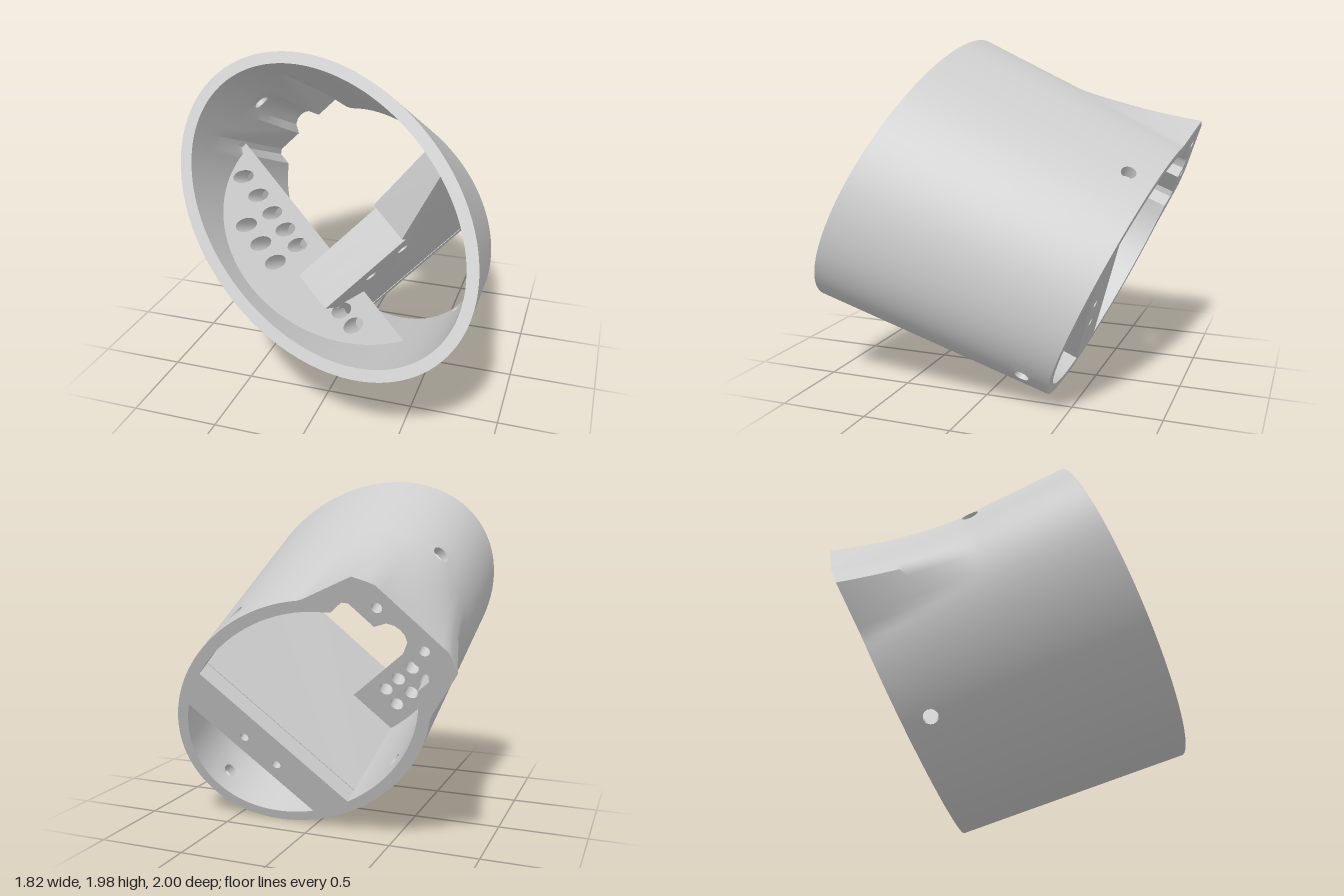
import * as THREE from 'three';
import { toCreasedNormals } from 'three/addons/utils/BufferGeometryUtils.js';

// Local frame: x = long axis of the oval, y = short axis, z = along the sleeve (0 back, L front)
const L = 1.411, WALL = 0.065, COLS = 160, ROWS = 56;
// Wall bores as [column, row, radius]
const BORES = [[80, 32, 0.05], [47, 6, 0.042], [0, 6, 0.042], [114, 6, 0.042]];

const lerp = THREE.MathUtils.lerp;
const oval = (z) => ({ c: lerp(0.012, 0.073, z / L), a: lerp(0.873, 0.971, z / L), b: lerp(0.63, 0.682, z / L) });
const ovalRadius = (phi, a, b) => 1 / Math.hypot(Math.cos(phi) / a, Math.sin(phi) / b);
const fade = (z, end, power) => Math.pow(Math.max(0, 1 - z / end), power);

// Outer radius: oval plus a flat mounting boss that fades away from the back
function outerRadius(phi, z) {
  const { a, b } = oval(z), r = ovalRadius(phi, a, b);
  const k = -Math.cos(phi), s = Math.abs(Math.sin(phi));
  if (k <= 0 || s > 0.72 * k) return r;
  const boss = Math.min(0.99 / k, 0.985 / (0.874 * k + 0.485 * s), 0.6 / (0.287 * k + 0.958 * s));
  return r + Math.max(0, boss - r) * fade(z, 0.74, 1.1);
}

// Inner radius: oval plus a square pocket and a round channel behind the boss
function innerRadius(phi, z) {
  const { a, b } = oval(z), r = ovalRadius(phi, a - WALL, b - WALL);
  const k = -Math.cos(phi), s = Math.abs(Math.sin(phi));
  let out = r;
  if (k > 0) {
    out = Math.max(r, Math.min(0.81 / k, 0.29 / Math.max(s, 1e-6)));
    const w = 0.82 * s;
    if (w < 0.09) out += Math.sqrt(0.0081 - w * w) * fade(z, 0.95, 0.7);
  }
  return Math.min(out, outerRadius(phi, z) - 0.03);
}

function wallPoint(radius, phi, z) {
  const r = radius(phi, z);
  return [oval(z).c + r * Math.cos(phi), r * Math.sin(phi), z];
}

// Grid position, with the square rim of each bore pulled onto a circle
function gridParams(i, j) {
  let phi = (2 * Math.PI * j) / COLS, z = (L * i) / ROWS;
  for (const [cj, ci, R] of BORES) {
    const dj = ((j - cj + COLS * 1.5) % COLS) - COLS / 2, di = i - ci;
    if (Math.max(Math.abs(di), Math.abs(dj)) !== 2) continue;
    const t = Math.atan2(di, dj), p0 = (2 * Math.PI * cj) / COLS, z0 = (L * ci) / ROWS;
    phi = p0 + (R * Math.cos(t)) / outerRadius(p0, z0);
    z = z0 + R * Math.sin(t);
  }
  return [phi, z];
}

const inBore = (i, j) => BORES.some(([cj, ci]) => {
  const dj = ((j - cj + COLS * 1.5) % COLS) - COLS / 2;
  return i >= ci - 2 && i < ci + 2 && dj >= -2 && dj < 2;
});

function buildGeometry(pos, idx) {
  const g = new THREE.BufferGeometry();
  g.setAttribute('position', new THREE.Float32BufferAttribute(pos, 3));
  g.setIndex(idx);
  return toCreasedNormals(g, 0.5);
}

function wallSurface(radius, flip) {
  const pos = [], idx = [];
  for (let i = 0; i <= ROWS; i++)
    for (let j = 0; j < COLS; j++) pos.push(...wallPoint(radius, ...gridParams(i, j)));
  for (let i = 0; i < ROWS; i++)
    for (let j = 0; j < COLS; j++) {
      if (inBore(i, j)) continue;
      const a = i * COLS + j, b = i * COLS + ((j + 1) % COLS), c = b + COLS, d = a + COLS;
      if (flip) idx.push(a, c, b, a, d, c);
      else idx.push(a, b, c, a, c, d);
    }
  return buildGeometry(pos, idx);
}

// Side of one bore, joining the outer and inner surfaces
function boreSide([cj, ci]) {
  const ring = [], pos = [], idx = [];
  for (let k = -2; k < 2; k++) ring.push([-2, k]);
  for (let k = -2; k < 2; k++) ring.push([k, 2]);
  for (let k = 2; k > -2; k--) ring.push([2, k]);
  for (let k = 2; k > -2; k--) ring.push([k, -2]);
  ring.forEach(([di, dj], n) => {
    const p = gridParams(ci + di, (cj + dj + COLS) % COLS);
    pos.push(...wallPoint(outerRadius, ...p), ...wallPoint(innerRadius, ...p));
    const a = n * 2, b = ((n + 1) % ring.length) * 2;
    idx.push(a, a + 1, b + 1, a, b + 1, b);
  });
  return buildGeometry(pos, idx);
}

const outline = (radius, z) => Array.from({ length: COLS }, (_, j) => {
  const [x, y] = wallPoint(radius, (2 * Math.PI * j) / COLS, z);
  return new THREE.Vector2(x, y);
});
const circle = (x, y, r) => new THREE.Path().absarc(x, y, r, 0, Math.PI * 2, true);

function rim(z, holes = []) {
  const s = new THREE.Shape(outline(outerRadius, z));
  s.holes.push(new THREE.Path(outline(innerRadius, z)), ...holes);
  return new THREE.ShapeGeometry(s).translate(0, 0, z);
}

// Half-width inside the middle of the wall thickness
function reach(u, z) {
  const { c, a, b } = oval(z);
  return (b - 0.03) * Math.sqrt(1 - ((u - c) / (a - 0.03)) ** 2);
}

// Slab of the partition, leaning slightly, with its ends fitted to the wall
function partitionSlab(u0, depth, holes) {
  const s = new THREE.Shape([[-0.6, 0.1], [0.6, 0.1], [0.6, 1.38], [0.2, 1.2], [0.2, 1.1],
    [-0.4, 1.1], [-0.4, 0.85], [-0.6, 0.85]].map(([x, y]) => new THREE.Vector2(x, y)));
  s.holes.push(...holes);
  const g = new THREE.ExtrudeGeometry(s, { depth, bevelEnabled: false, curveSegments: 8 });
  const p = g.attributes.position;
  for (let i = 0; i < p.count; i++) {
    const z = p.getY(i);
    let w = p.getX(i), u = p.getZ(i) + u0;
    if (u > 0.35 && w > 0.5 && z > 1) u = 0.32; // raised end narrows toward the front
    u += 0.04 * Math.max(0, 1 - z / 1.1);
    if (Math.abs(w) > 0.5) w = Math.sign(w) * reach(u, z);
    p.setXYZ(i, u, w, z);
  }
  return toCreasedNormals(g, 0.6);
}

// Back end of the partition with two screw holes
function partitionFoot(u0, u1) {
  const s = new THREE.Shape([[u0, -1], [u1, -1], [u1, 1], [u0, 1]]
    .map(([u, k]) => new THREE.Vector2(u, k * reach(u, 0))));
  s.holes.push(circle(0.37, -0.12, 0.026), circle(0.37, 0.12, 0.026));
  const g = new THREE.ExtrudeGeometry(s, { depth: 0.1, bevelEnabled: false, curveSegments: 8 });
  return toCreasedNormals(g, 0.6);
}

// Sloping block under a chord of the oval, pierced along the sleeve
function ramp() {
  const top = -0.265, z0 = 0.7, a = 0.885, b = 0.63, c = 0.05;
  const t0 = Math.PI + Math.asin(-top / b), t1 = 2 * Math.PI - Math.asin(-top / b), pts = [];
  for (let k = 0; k <= 40; k++) {
    const t = lerp(t0, t1, k / 40);
    pts.push(new THREE.Vector2(c + a * Math.cos(t), b * Math.sin(t)));
  }
  const s = new THREE.Shape(pts);
  for (const u of [-0.55, -0.4, -0.26, -0.13, -0.01]) s.holes.push(circle(u, -0.365, 0.042));
  for (const u of [-0.26, -0.12, 0.02]) s.holes.push(circle(u, -0.48, 0.042));
  for (const u of [0.46, 0.57]) s.holes.push(circle(u, -0.39, 0.042));
  const g = new THREE.ExtrudeGeometry(s, { depth: 1, bevelEnabled: false, curveSegments: 10 });
  const p = g.attributes.position;
  for (let i = 0; i < p.count; i++)
    p.setZ(i, z0 + (p.getZ(i) > 0.5 ? (top - p.getY(i)) * 1.6 : 0));
  return toCreasedNormals(g, 0.5);
}

export function createModel() {
  const grey = new THREE.MeshStandardMaterial({ color: 0xcccccc, side: THREE.DoubleSide });
  grey.name = 'plain grey';
  const sleeve = new THREE.Group();
  sleeve.name = 'sleeve';
  const add = (name, geometry) => {
    const m = new THREE.Mesh(geometry, grey);
    m.name = name;
    sleeve.add(m);
  };

  // Shell
  add('outerWall', wallSurface(outerRadius, false));
  add('innerWall', wallSurface(innerRadius, true));
  BORES.forEach((b) => add('wallBore', boreSide(b)));
  add('frontRim', rim(L));
  const screws = [-0.155, 0.155];
  add('backRim', rim(0, screws.map((w) => circle(-0.89, w, 0.028))));

  // Blind screw holes in the boss
  for (const w of screws) {
    add('screwHole', new THREE.CylinderGeometry(0.028, 0.028, 0.12, 16, 1, true)
      .rotateX(Math.PI / 2).translate(-0.89, w, 0.06));
    add('screwHoleEnd', new THREE.CircleGeometry(0.028, 16).translate(-0.89, w, 0.12));
  }

  // Partition and ramp inside
  add('partitionFoot', partitionFoot(0.22, 0.46));
  add('partitionInner', partitionSlab(0.18, 0.12, []));
  add('partitionOuter', partitionSlab(0.3, 0.12, [circle(-0.12, 0.93, 0.035), circle(0.12, 0.93, 0.035)]));
  add('piercedRamp', ramp());

  // Tilt into place
  sleeve.rotation.set(-0.417, 0, -0.742);
  sleeve.position.set(-0.02, 0.6875, -0.645);
  const model = new THREE.Group();
  model.name = 'model';
  model.add(sleeve);
  return model;
}
